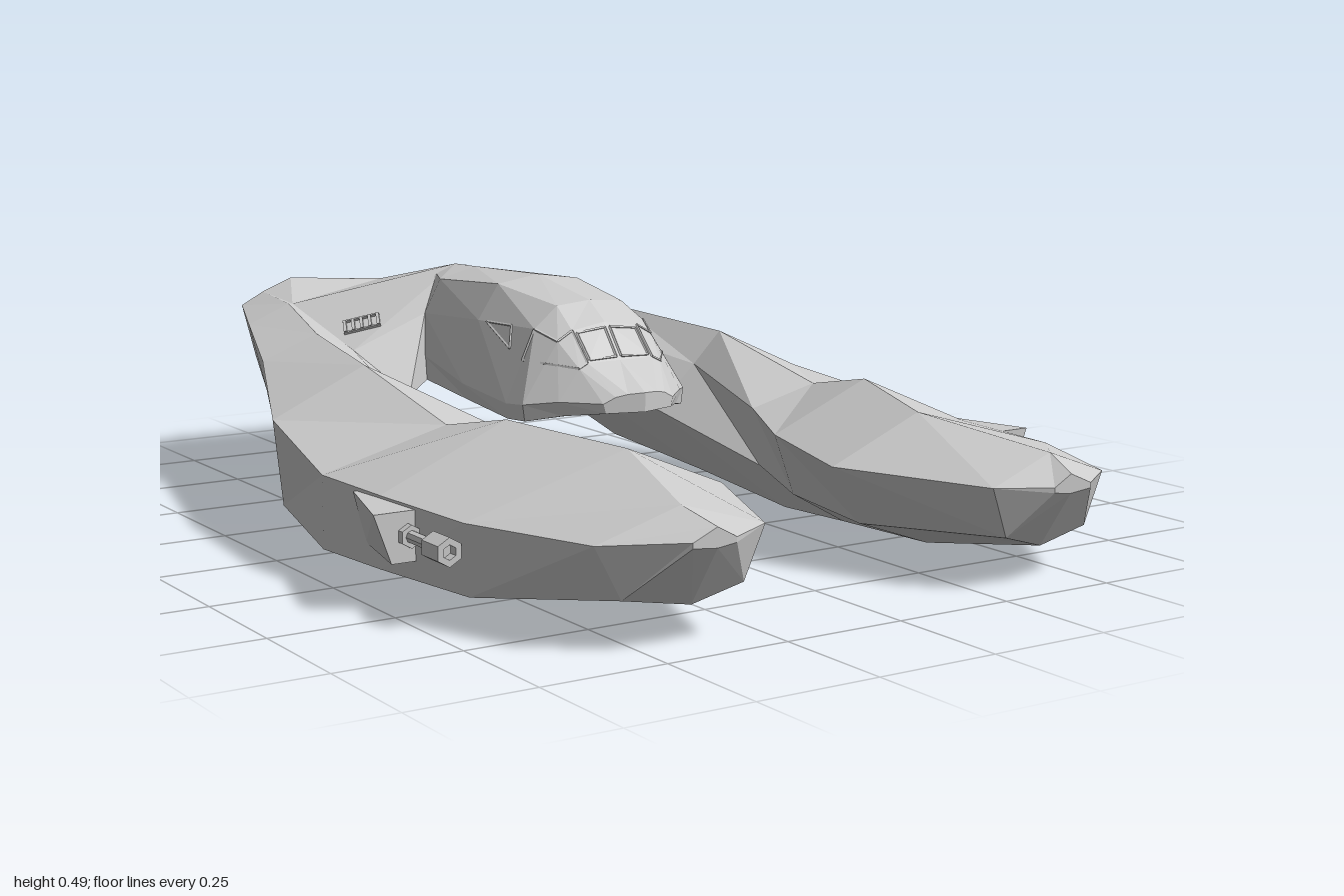
import * as THREE from 'three';

const mat = new THREE.MeshStandardMaterial({ color: 0xcccccc, flatShading: true, side: THREE.DoubleSide });

function mesh(name, geometry) {
  const m = new THREE.Mesh(geometry, mat);
  m.name = name;
  return m;
}

// Faceted surface from corner points and triangle indices
function facets(points, index) {
  const g = new THREE.BufferGeometry();
  g.setAttribute('position', new THREE.Float32BufferAttribute(points.flat(), 3));
  g.setIndex(index);
  const flat = g.toNonIndexed();
  flat.computeVertexNormals();
  return flat;
}

// Rows are [z, x0, y0, x1, y1, ...]; returns 3D points per row
function sections(rows) {
  return rows.map(([z, ...c]) => {
    const ring = [];
    for (let i = 0; i < c.length; i += 2) ring.push([c[i], c[i + 1], z]);
    return ring;
  });
}

// Skin joining successive cross-sections, capped at both ends
function loft(rings, closed) {
  const n = rings[0].length, index = [];
  for (let r = 0; r < rings.length - 1; r++) {
    for (let i = 0; i < (closed ? n : n - 1); i++) {
      const a = r * n + i, b = r * n + (i + 1) % n;
      index.push(a, b, a + n, b, b + n, a + n);
    }
  }
  const last = (rings.length - 1) * n;
  for (let i = 1; i < n - 1; i++) index.push(0, i + 1, i, last, last + i, last + i + 1);
  return facets(rings.flat(), index);
}

const mix = (a, b, t) => a.map((v, k) => v + (b[k] - v) * t);

// Thin rod between two points
function bar(name, a, b, radius) {
  const p = new THREE.Vector3(...a), q = new THREE.Vector3(...b), d = q.clone().sub(p);
  const m = mesh(name, new THREE.CylinderGeometry(radius, radius, d.length(), 4));
  m.position.copy(p).add(q).multiplyScalar(0.5);
  m.quaternion.setFromUnitVectors(new THREE.Vector3(0, 1, 0), d.normalize());
  return m;
}

// Thin frame around a window outline
function windowFrame(pts) {
  const g = new THREE.Group();
  g.name = 'windowFrame';
  pts.forEach((p, i) => g.add(bar('windowEdge', p, pts[(i + 1) % pts.length], 0.003)));
  return g;
}

// Curved arm: outer edge, ridge, inner edge, inner bottom, keel, outer bottom
const ARM = sections([
  [1.0, 0.45, 0.2, 0.4, 0.222, 0.36, 0.2, 0.36, 0.19, 0.4, 0.185, 0.45, 0.19],
  [0.92, 0.58, 0.19, 0.42, 0.247, 0.26, 0.2, 0.3, 0.1, 0.4, 0.07, 0.53, 0.09],
  [0.63, 0.68, 0.19, 0.34, 0.287, 0.13, 0.2, 0.2, 0.08, 0.37, 0.02, 0.67, 0.055],
  [0.35, 0.7, 0.19, 0.43, 0.305, 0.2, 0.21, 0.25, 0.08, 0.38, 0.008, 0.7, 0.05],
  [0.15, 0.72, 0.195, 0.45, 0.265, 0.29, 0.225, 0.31, 0.1, 0.38, 0, 0.72, 0.05],
  [-0.2, 0.66, 0.24, 0.45, 0.335, 0.38, 0.265, 0.28, 0.17, 0.4, 0.02, 0.64, 0.06],
  [-0.53, 0.53, 0.305, 0.4, 0.355, 0.31, 0.31, 0.2, 0.24, 0.38, 0.05, 0.5, 0.13],
  [-0.8, 0.44, 0.345, 0.34, 0.386, 0.33, 0.385, 0.2, 0.235, 0.34, 0.145, 0.4, 0.19],
  [-1, 0.38, 0.365, 0.32, 0.392, 0.24, 0.418, 0.24, 0.235, 0.29, 0.235, 0.345, 0.242],
]);
// Sweep the nose and the stern corner back towards the outside
for (const p of ARM[1]) p[2] += (0.42 - p[0]) * 0.15;
for (const p of ARM[8]) p[2] += (p[0] - 0.24) * 0.2;

// Half cockpit: roof centre, roof edge, shoulder, waist, floor edge, floor centre
const COCKPIT = sections([
  [0.175, 0, 0.29, 0.035, 0.288, 0.06, 0.283, 0.085, 0.27, 0.08, 0.25, 0, 0.25],
  [0.08, 0, 0.345, 0.08, 0.345, 0.1, 0.335, 0.15, 0.27, 0.14, 0.24, 0, 0.242],
  [0.02, 0, 0.418, 0.08, 0.405, 0.115, 0.385, 0.2, 0.26, 0.195, 0.225, 0, 0.235],
  [-0.04, 0, 0.457, 0.08, 0.45, 0.135, 0.405, 0.205, 0.255, 0.2, 0.222, 0, 0.235],
  [-0.25, 0, 0.49, 0.1, 0.475, 0.15, 0.4, 0.19, 0.265, 0.18, 0.23, 0, 0.235],
  [-0.53, 0, 0.478, 0.09, 0.455, 0.13, 0.38, 0.14, 0.29, 0.14, 0.235, 0, 0.24],
  [-0.62, 0, 0.475, 0.05, 0.455, 0.1, 0.41, 0.13, 0.29, 0.13, 0.235, 0, 0.24],
]);
// Round the tip
for (const p of COCKPIT[0]) p[2] -= p[0] * 0.3;

// Rear deck, its front wall and the underside
function rearHull() {
  const pts = [
    [0, 0.4, -1], [0.24, 0.418, -1], [0.33, 0.385, -0.8], [0, 0.475, -0.62],
    [0.31, 0.31, -0.53], [0.13, 0.38, -0.53], [0.24, 0.22, -0.4], [0.14, 0.235, -0.5],
    [0, 0.24, -0.5], [0.2, 0.24, -0.53], [0.24, 0.235, -1], [0, 0.235, -1],
  ];
  return facets(pts, [
    0, 2, 1, 0, 3, 2, 3, 4, 2, 3, 5, 4, 5, 6, 4, 5, 7, 6,
    7, 9, 6, 7, 8, 9, 8, 10, 9, 8, 11, 10,
  ]);
}

// Stern plate with a recessed exhaust slot
function exhaust() {
  const g = new THREE.Group();
  g.name = 'exhaust';
  const outline = pts => pts.map(p => new THREE.Vector2(...p));
  const slot = outline([[0.015, 0.25], [0.015, 0.335], [0.215, 0.335], [0.23, 0.25]]);
  const panel = (name, border, depth) => {
    const shape = new THREE.Shape(outline(border));
    shape.holes.push(new THREE.Path(slot));
    const m = mesh(name, new THREE.ExtrudeGeometry(shape, { depth, bevelEnabled: false }));
    m.position.z = -1;
    g.add(m);
  };
  panel('sternPlate', [[0, 0.236], [0.24, 0.236], [0.24, 0.417], [0, 0.4]], 0.002);
  panel('exhaustRim', [[0.01, 0.245], [0.236, 0.245], [0.22, 0.34], [0.01, 0.34]], 0.05);
  const back = mesh('exhaustBack', new THREE.BoxGeometry(0.23, 0.1, 0.01));
  back.position.set(0.12, 0.293, -0.945);
  g.add(back);
  return g;
}

// Grille lying on the slope beside the cockpit
function vent() {
  const g = new THREE.Group();
  g.name = 'vent';
  const n = new THREE.Vector3(0.442, 1, 0.311).normalize();
  const x = new THREE.Vector3(0.09, -0.024, -0.05).normalize();
  const z = new THREE.Vector3().crossVectors(x, n).normalize();
  x.crossVectors(n, z);
  g.quaternion.setFromRotationMatrix(new THREE.Matrix4().makeBasis(x, n, z));
  g.position.set(0.255, 0.357, -0.597);
  for (let i = 0; i < 5; i++) {
    const slat = mesh('ventSlat', new THREE.BoxGeometry(0.007, 0.012, 0.046));
    slat.position.x = (i - 2) * 0.019;
    g.add(slat);
  }
  for (const s of [-1, 1]) {
    const rail = mesh('ventRail', new THREE.BoxGeometry(0.084, 0.008, 0.005));
    rail.position.z = s * 0.023;
    g.add(rail);
  }
  return g;
}

// Wedge pylon carrying a forward gun
function gun() {
  const g = new THREE.Group();
  g.name = 'gun';
  const ring = [[0.64, 0.09, 0.47], [0.74, 0.09, 0.47], [0.775, 0.185, 0.47], [0.66, 0.185, 0.47]];
  const tail = [[0.64, 0.09, 0.29], [0.7, 0.09, 0.29], [0.715, 0.185, 0.27], [0.66, 0.185, 0.27]];
  g.add(mesh('gunPylon', loft([ring, tail], true)));
  const cylinder = (name, r, z0, z1, sides) => {
    const c = mesh(name, new THREE.CylinderGeometry(r, r, z1 - z0, sides));
    c.rotation.x = Math.PI / 2;
    c.position.set(0.706, 0.14, (z0 + z1) / 2);
    g.add(c);
  };
  cylinder('gunBarrel', 0.012, 0.46, 0.6, 8);
  cylinder('gunCollar', 0.022, 0.47, 0.485, 6);
  // Hollow hexagonal muzzle
  const profile = [[0.013, -0.03], [0.027, -0.03], [0.027, 0.03], [0.014, 0.03], [0.014, 0.01], [0, 0.01]];
  const muzzle = mesh('gunMuzzle', new THREE.LatheGeometry(profile.map(p => new THREE.Vector2(...p)), 6));
  muzzle.rotation.x = Math.PI / 2;
  muzzle.position.set(0.706, 0.14, 0.595);
  g.add(muzzle);
  return g;
}

export function createModel() {
  const model = new THREE.Group();
  model.name = 'ship';
  const C = COCKPIT;
  const sill = mix(C[3][2], C[3][3], 0.42);
  const rear = [0.4, 0.85].map(t => mix(C[3][2], C[4][2], t));
  const left = new THREE.Group();
  left.name = 'leftHalf';
  left.add(
    mesh('arm', loft(ARM, true)),
    mesh('cockpit', loft(C, false)),
    mesh('rearHull', rearHull()),
    exhaust(), vent(), gun(),
    windowFrame([[0.006, 0.352, 0.075], [0.072, 0.35, 0.076], [0.072, 0.4, 0.026], [0.006, 0.408, 0.03]]),
    windowFrame([C[1][1], C[1][2], mix(C[2][2], C[2][3], 0.35), sill, C[3][2], C[2][2], C[2][1]]),
    windowFrame([rear[0], mix(rear[0], C[3][3], 0.3), rear[1]]),
  );
  // The right half mirrors the left
  const right = left.clone();
  right.name = 'rightHalf';
  right.scale.x = -1;
  model.add(left, right);
  return model;
}
